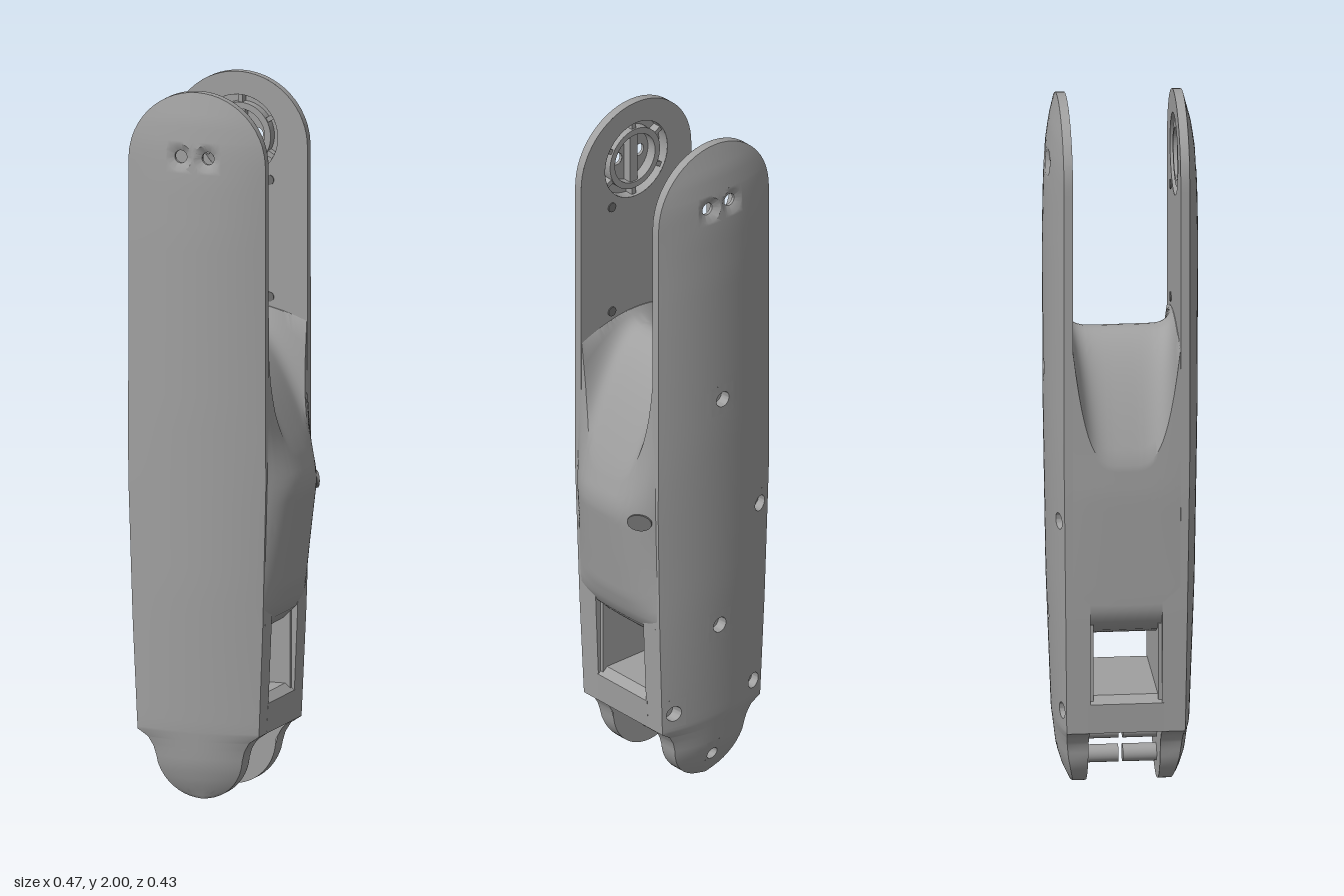
import * as THREE from 'three';
import { mergeGeometries, toCreasedNormals } from 'three/addons/utils/BufferGeometryUtils.js';

const CX = -0.03; // x of the link's own middle plane
const grey = new THREE.MeshStandardMaterial({ color: 0xa0a0a0, side: THREE.DoubleSide });
grey.name = 'grey';
const darkGrey = new THREE.MeshStandardMaterial({ color: 0x707070, side: THREE.DoubleSide });
darkGrey.name = 'dark grey';

// Linear interpolation through [position, value] knots
function knots(table, t) {
  if (t <= table[0][0]) return table[0][1];
  for (let i = 1; i < table.length; i++) {
    const [a, va] = table[i - 1], [b, vb] = table[i];
    if (t <= b) return va + (vb - va) * (t - a) / (b - a);
  }
  return table[table.length - 1][1];
}

// Half width of a side plate at height y
function halfWidth(y) {
  if (y >= 1.8) return 0.203 * Math.sqrt(Math.max(0, 1 - ((y - 1.8) / 0.2) ** 2));
  if (y <= 0.13) return 0.128 * Math.sqrt(Math.max(0, 1 - ((0.13 - y) / 0.13) ** 2));
  return knots([[0.13, 0.128], [0.15, 0.138], [0.17, 0.15], [0.19, 0.18], [0.5, 0.193], [0.9, 0.204], [1.8, 0.203]], y);
}
const rimZ = y => knots([[0, 0.135], [0.1, 0.155], [0.2, 0.165], [1, 0.175]], y);
const crownZ = y => knots([[0, 0.14], [0.05, 0.163], [0.1, 0.178], [0.2, 0.19], [0.6, 0.205], [1.1, 0.213],
  [1.6, 0.215], [1.75, 0.212], [1.85, 0.206], [1.92, 0.196], [2, 0.175]], y);
const domeZ = (s, y) => rimZ(y) + (crownZ(y) - rimZ(y)) * (1 - s * s);

// Surface through rows of points [x, y, z], skipping cells on request
function loft(rows, skip = () => false) {
  const n = rows[0].length, index = [];
  for (let i = 0; i < rows.length - 1; i++) {
    for (let j = 0; j < n - 1; j++) {
      if (skip(i, j)) continue;
      const a = i * n + j, b = a + 1, c = a + n, d = c + 1;
      index.push(a, b, d, a, d, c);
    }
  }
  const g = new THREE.BufferGeometry();
  g.setAttribute('position', new THREE.Float32BufferAttribute(rows.flat(2), 3));
  g.setIndex(index);
  return g;
}

function add(parent, name, geometry, material = grey, x = 0, y = 0, z = 0) {
  const mesh = new THREE.Mesh(geometry, material);
  mesh.name = name;
  mesh.position.set(x, y, z);
  parent.add(mesh);
  return mesh;
}

function circlePath(x, y, r) {
  return new THREE.Path().absarc(x, y, r, 0, Math.PI * 2, true);
}

// Flat inner face between two heights
function plateShape(y0, y1) {
  const right = [];
  for (let i = 0; i <= 80; i++) {
    const y = y0 + (y1 - y0) * (1 - Math.cos(Math.PI * i / 80)) / 2;
    right.push(new THREE.Vector2(halfWidth(y), y));
  }
  const left = right.map(p => new THREE.Vector2(-p.x, p.y)).reverse();
  return new THREE.Shape([...right, ...left]);
}

// Domed outer face with round holes let into it
function outerFace(holes) {
  const S = 0.2, H = 0.045;
  let ys = [0.15, 0.17, 0.19];
  for (let i = 0; i <= 64; i++) ys.push(1 - Math.cos(Math.PI * i / 64));
  for (const h of holes) ys.push(h.y - H, h.y + H);
  ys = [...new Set(ys.map(y => +y.toFixed(5)))].sort((a, b) => a - b);
  const cols = Array.from({ length: 21 }, (_, j) => (j - 10) / 10);
  const rows = ys.map(y => cols.map(s => [s * halfWidth(y), y, domeZ(s, y)]));
  const parts = [loft(rows, (i, j) => holes.some(h =>
    Math.abs((cols[j] + cols[j + 1]) / 2 - h.s) < S && Math.abs((ys[i] + ys[i + 1]) / 2 - h.y) < H))];
  for (const h of holes) {
    const x0 = h.s * halfWidth(h.y), rings = [[], [], [], [], []];
    const zEnd = h.through ? 0.185 : domeZ(h.s, h.y) - 0.03;
    const zCone = h.through ? 0.194 : zEnd;
    for (let k = 0; k <= 32; k++) {
      const a = k / 32 * Math.PI * 2, c = Math.cos(a), q = Math.sin(a), m = Math.max(Math.abs(c), Math.abs(q));
      const s = h.s + S * c / m, y = h.y + H * q / m;
      rings[0].push([s * halfWidth(y), y, domeZ(s, y)]);
      const x1 = x0 + h.r * c, y1 = h.y + h.r * q;
      rings[1].push([x1, y1, domeZ(x1 / halfWidth(y1), y1)]);
      rings[2].push([x0 + h.r2 * c, h.y + h.r2 * q, zCone]);
      const r3 = h.through ? h.r2 : 0;
      rings[3].push([x0 + r3 * c, h.y + r3 * q, zEnd]);
    }
    parts.push(loft(rings.slice(0, 4).map(r => r.reverse())));
  }
  // Rim running round the edge of the plate
  for (const side of [-1, 1]) {
    parts.push(loft(ys.map(y => {
      const x = side * halfWidth(y), edge = [x, y, rimZ(y)], inner = [x, y, y < 0.6 ? 0.1 : 0.15];
      return side > 0 ? [edge, inner] : [inner, edge];
    })));
  }
  return toCreasedNormals(mergeGeometries(parts), 0.6);
}

// One side plate with its joint socket and pegs
function sidePlate(name, extraHoles) {
  const plate = new THREE.Group();
  plate.name = name;
  const bolts = [-0.2, 0.2].map(s => ({ s, y: 1.82, r: 0.038, r2: 0.018, through: true }));
  add(plate, 'outerShell', outerFace([...bolts, ...extraHoles]));

  const upper = plateShape(0.5, 2);
  upper.holes.push(circlePath(0, 1.82, 0.115));
  add(plate, 'innerFace', new THREE.ShapeGeometry(upper, 32).rotateY(Math.PI), grey, 0, 0, 0.15);
  add(plate, 'lowerInnerFace', new THREE.ShapeGeometry(plateShape(0, 0.6)).rotateY(Math.PI), grey, 0, 0, 0.1);

  const wall = new THREE.CylinderGeometry(0.115, 0.115, 0.035, 40, 1, true).rotateX(Math.PI / 2);
  add(plate, 'socketWall', wall, grey, 0, 1.82, 0.1675);
  const floor = new THREE.Shape().absarc(0, 0, 0.115, 0, Math.PI * 2);
  floor.holes.push(circlePath(-0.04, 0, 0.018), circlePath(0.04, 0, 0.018));
  add(plate, 'socketFloor', new THREE.ShapeGeometry(floor, 32).rotateY(Math.PI), grey, 0, 1.82, 0.185);
  const ring = new THREE.Shape().absarc(0, 0, 0.092, 0, Math.PI * 2);
  ring.holes.push(circlePath(0, 0, 0.074));
  add(plate, 'socketRing', new THREE.ExtrudeGeometry(ring, { depth: 0.03, bevelEnabled: false, curveSegments: 32 }),
    grey, 0, 1.82, 0.155);
  add(plate, 'socketBar', new THREE.BoxGeometry(0.028, 0.152, 0.025), grey, 0, 1.82, 0.1725);
  for (let i = 0; i < 6; i++) {
    const a = (i + 0.5) * Math.PI / 3;
    const rib = add(plate, 'socketRib', new THREE.BoxGeometry(0.026, 0.014, 0.025), grey,
      0.103 * Math.cos(a), 1.82 + 0.103 * Math.sin(a), 0.1725);
    rib.rotation.z = a;
  }
  // Pegs between the lower prongs
  for (const [x, y] of [[0, 0.14], [0, 0.07]]) {
    add(plate, 'peg', new THREE.CylinderGeometry(0.025, 0.025, 0.1, 24).rotateX(Math.PI / 2), grey, x, y, 0.056);
  }
  return plate;
}

// Middle block: bulged flanks and a saddle-shaped crotch, in slices along z
function bodyGeometry() {
  const Z = 0.165, rows = [];
  const bulge = y => knots([[0.5, 0], [0.6, 0.03], [0.72, 0.045], [0.87, 0.063], [0.91, 0.059], [0.96, 0.045],
    [1.02, 0.028], [1.1, 0.012], [1.2, 0]], y);
  for (let i = 0; i <= 40; i++) {
    const z = Z * (i / 20 - 1), u = Math.min(1, Math.abs(z) / 0.15);
    const f = 1 - (Math.abs(z) / Z) ** 3;
    const lip = 0.98 + 0.34 * u ** 4, ridge = 1.32 + 0.035 * u ** 8;
    const flank = (side, y) => side * (halfWidth(y) - 0.002 + f * (side > 0 ? bulge(y) : 0.06 * bulge(y)));
    const half = side => {
      const pts = [[flank(side, 0.55) - side * 0.09, 0.46, z], [flank(side, 0.55) - side * 0.05, 0.48, z],
        [flank(side, 0.55) - side * 0.015, 0.515, z]];
      for (let k = 0; k <= 24; k++) {
        const y = 0.55 + (lip - 0.55) * k / 24;
        pts.push([flank(side, y), y, z]);
      }
      const edge = flank(side, lip);
      for (let k = 0; k <= 14; k++) {
        const t = k / 14;
        pts.push([edge + (0.01 - edge) * t, lip + (ridge - lip) * (1 - (1 - t) ** 1.8), z]);
      }
      return pts;
    };
    const outline = [...half(1), ...half(-1).reverse()];
    rows.push([...outline, outline[0]]);
  }
  return toCreasedNormals(loft(rows.reverse()), 0.6);
}

export function createModel() {
  const model = new THREE.Group();
  model.name = 'armLink';
  const link = new THREE.Group();
  link.name = 'link';
  link.position.x = CX;
  model.add(link);

  link.add(sidePlate('frontPlate', []));
  const screw = (s, y, r = 0.023) => ({ s, y, r, r2: r * 0.9 });
  const back = sidePlate('backPlate', [screw(0, 1.21), screw(0.8, 0.81), screw(0, 0.49),
    screw(0.8, 0.25), screw(-0.8, 0.25), screw(0, 0.07, 0.018)]);
  back.rotation.y = Math.PI;
  link.add(back);

  add(link, 'body', bodyGeometry());
  // Sill below the window, with a sloped top edge
  const sill = new THREE.Shape([[-0.18, 0.19], [0.18, 0.19], [0.184, 0.275], [0.16, 0.295], [-0.16, 0.295], [-0.184, 0.275]]
    .map(p => new THREE.Vector2(...p)));
  add(link, 'windowSill', new THREE.ExtrudeGeometry(sill, { depth: 0.21, bevelEnabled: false }), grey, 0, 0, -0.105);
  // Narrow jambs beside the window
  for (const z of [-0.097, 0.097]) add(link, 'windowJamb', new THREE.BoxGeometry(0.35, 0.25, 0.014), grey, 0, 0.38, z);

  // Small screw marks on the inner faces and the flank
  for (const side of [-1, 1]) {
    for (const y of [1.7, 1.37]) {
      add(link, 'screwMark', new THREE.CylinderGeometry(0.014, 0.014, 0.004, 20).rotateX(Math.PI / 2), darkGrey, 0.09, y, side * 0.149);
    }
  }
  const mark = add(link, 'flankScrewMark', new THREE.CylinderGeometry(0.025, 0.025, 0.008, 24).rotateX(Math.PI / 2),
    darkGrey, 0.234, 0.87, -0.13);
  mark.rotation.y = Math.PI / 2 + 0.62;
  mark.scale.x = 1.4;
  return model;
}
